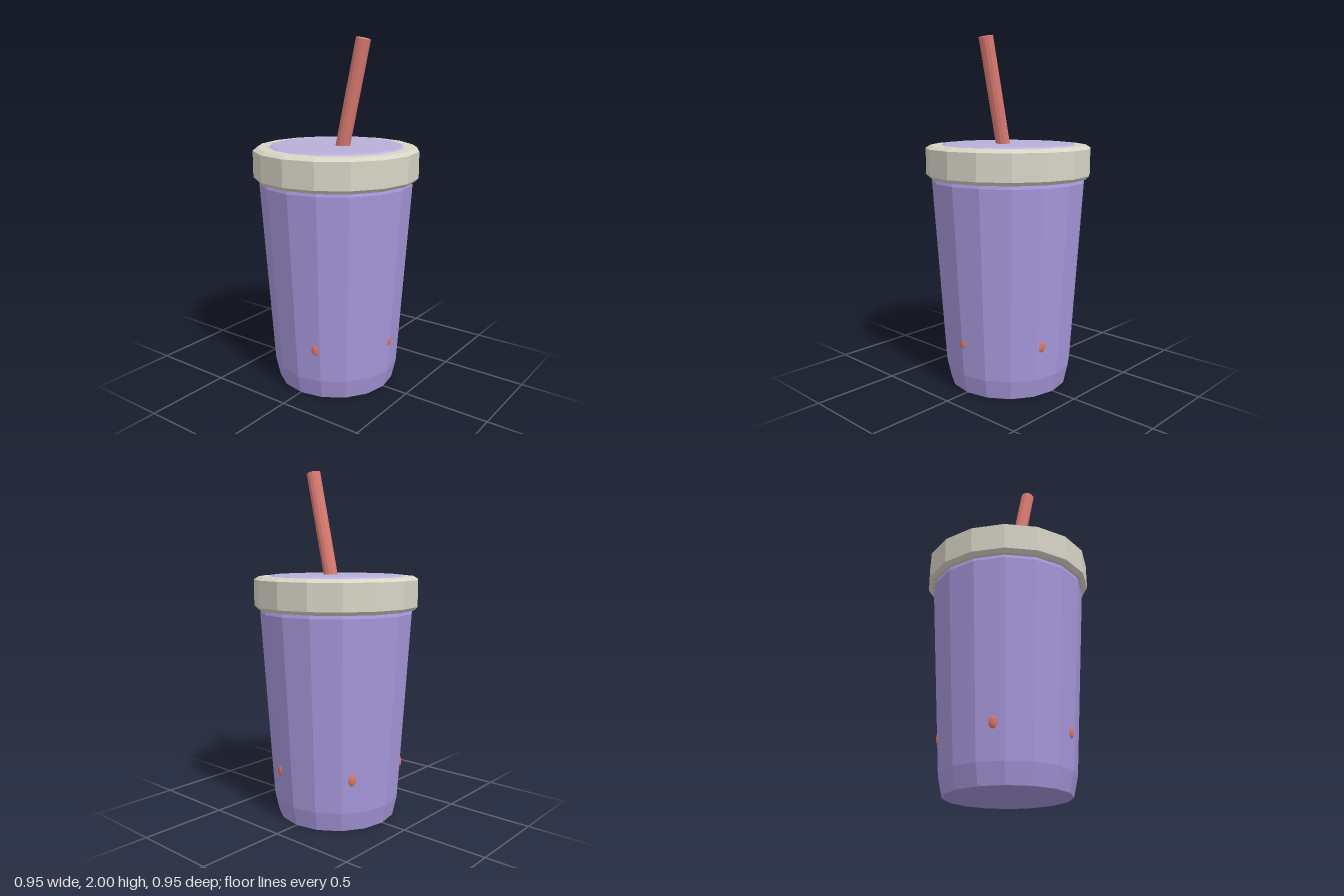
import * as THREE from 'three';

const paint = (name, color) => new THREE.MeshStandardMaterial({ name, color, flatShading: true });

export function createModel() {
  const purple = paint('cup purple', 0xa898dc);
  const lavender = paint('lid lavender', 0xb9afda);
  const cream = paint('rim cream', 0xd8d5c7);
  const coral = paint('straw coral', 0xdc7c73);
  const orange = paint('spot orange', 0xdd7560);

  const model = new THREE.Group();
  model.name = 'cupWithStraw';

  const add = (name, geometry, material) => {
    const mesh = new THREE.Mesh(geometry, material);
    mesh.name = name;
    model.add(mesh);
    return mesh;
  };
  // Sixteen-sided turned part, profile listed from the bottom up as [radius, y]
  const turned = (name, profile, material) =>
    add(name, new THREE.LatheGeometry(profile.map(([r, y]) => new THREE.Vector2(r, y)), 16), material);

  // Tapered cup with a chamfered foot and shoulder
  turned('cup', [[0, 0], [0.345, 0], [0.37, 0.11], [0.442, 1.19], [0.432, 1.22], [0, 1.22]], purple);

  // Bevelled lid band
  turned('lidRim', [[0.38, 1.21], [0.455, 1.21], [0.475, 1.23], [0.475, 1.38], [0.447, 1.397], [0.36, 1.397]], cream);

  // Slightly raised disc inside the rim
  turned('lidTop', [[0.387, 1.38], [0.387, 1.397], [0.37, 1.405], [0, 1.405]], lavender);

  // Leaning straw
  const base = new THREE.Vector3(0.025, 1.31, 0);
  const tip = new THREE.Vector3(0.18, 1.989, 0);
  const axis = tip.clone().sub(base);
  const straw = add('straw', new THREE.CylinderGeometry(0.041, 0.041, axis.length(), 12), coral);
  straw.position.copy(base).add(tip).multiplyScalar(0.5);
  straw.quaternion.setFromUnitVectors(new THREE.Vector3(0, 1, 0), axis.normalize());

  // Five small oval spots around the lower cup
  for (let i = 0; i < 5; i++) {
    const angle = (i * Math.PI * 2) / 5;
    const spot = add('spot' + (i + 1), new THREE.SphereGeometry(1, 12, 8), orange);
    spot.scale.set(0.022, 0.032, 0.01);
    spot.position.set(Math.cos(angle) * 0.3755, 0.3, Math.sin(angle) * 0.3755);
    spot.rotation.y = Math.PI / 2 - angle;
  }
  return model;
}
